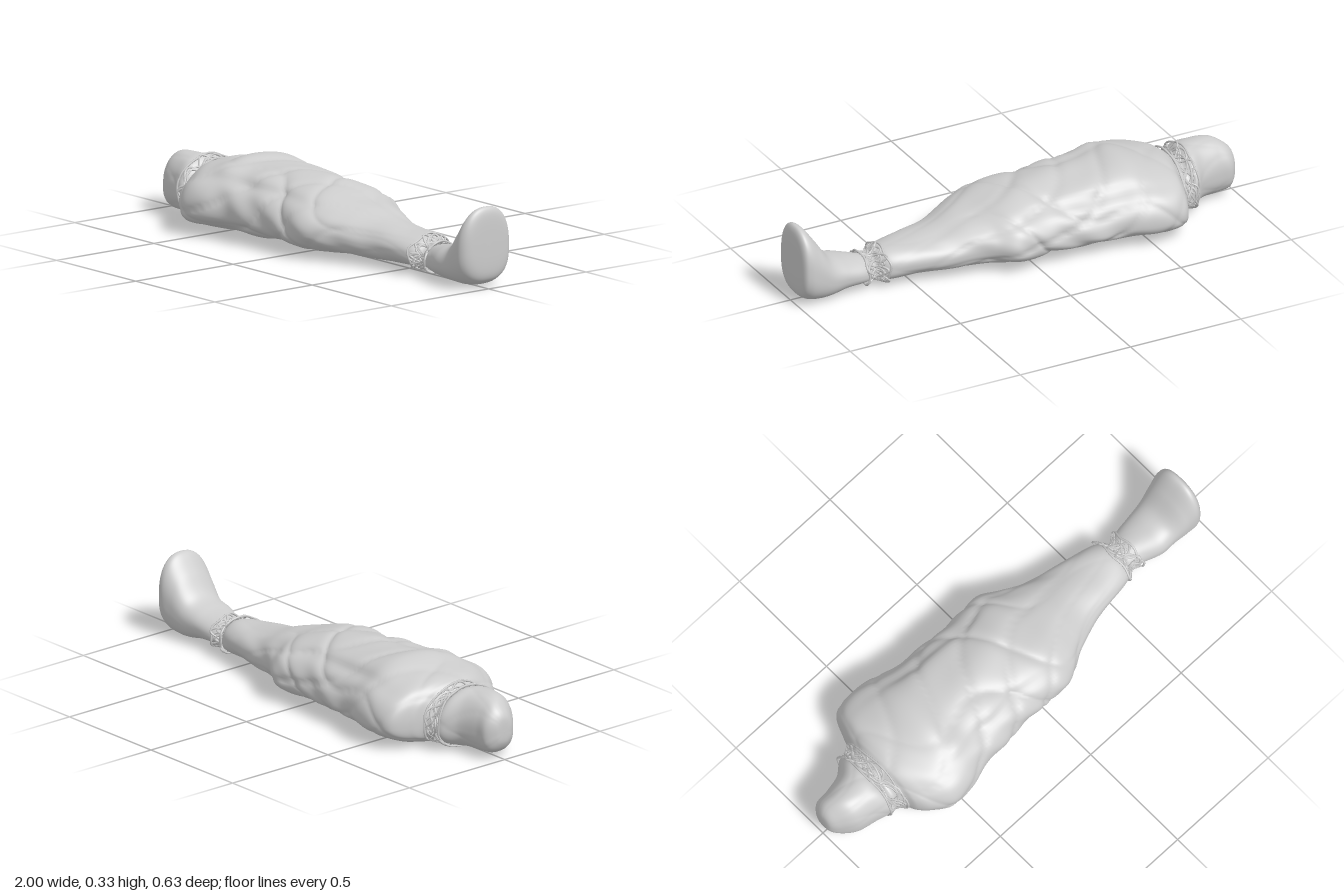
import * as THREE from 'three';

// Cross-sections along the body: [x, bottom y, top y, min z, max z]
const hoodRows = [
  [-1, 0.12, 0.12, 0, 0],
  [-0.995, 0.07, 0.18, -0.04, 0.04],
  [-0.965, 0.03, 0.22, -0.075, 0.075],
  [-0.91, 0.015, 0.25, -0.08, 0.115],
  [-0.83, 0.015, 0.255, -0.1, 0.135],
  [-0.775, 0.015, 0.25, -0.145, 0.15],
];
const shroudRows = [
  [-0.735, 0.02, 0.215, -0.15, 0.145],
  [-0.7, 0.015, 0.24, -0.165, 0.17],
  [-0.68, 0.012, 0.255, -0.22, 0.215],
  [-0.64, 0.012, 0.27, -0.3, 0.26],
  [-0.56, 0.015, 0.285, -0.325, 0.31],
  [-0.46, 0.015, 0.31, -0.312, 0.3],
  [-0.36, 0.02, 0.302, -0.288, 0.275],
  [-0.24, 0.015, 0.295, -0.277, 0.265],
  [-0.1, 0.015, 0.29, -0.267, 0.25],
  [0, 0.01, 0.28, -0.267, 0.255],
  [0.1, 0.015, 0.26, -0.272, 0.257],
  [0.18, 0.018, 0.238, -0.227, 0.227],
  [0.26, 0.02, 0.217, -0.192, 0.18],
  [0.36, 0.022, 0.184, -0.165, 0.14],
  [0.48, 0.025, 0.168, -0.14, 0.115],
  [0.6, 0.025, 0.155, -0.115, 0.09],
];
const feetRows = [
  [0.65, 0.03, 0.125, -0.07, 0.06],
  [0.7, 0.025, 0.135, -0.09, 0.075],
  [0.78, 0.02, 0.155, -0.1, 0.105],
  [0.85, 0.01, 0.185, -0.11, 0.105],
  [0.91, 0.008, 0.265, -0.12, 0.115],
  [0.965, 0.02, 0.332, -0.125, 0.12],
  [0.995, 0.06, 0.31, -0.1, 0.085],
  [1, 0.18, 0.18, 0, 0],
];
const rows = [...hoodRows, ...shroudRows, ...feetRows];
const NECK = hoodRows.length;
const ANKLE = NECK + shroudRows.length;
const END = rows.length - 1;

// Smoothly interpolated cross-section at row position t
function sectionAt(t) {
  const i = Math.min(Math.floor(t), END - 1), f = t - i;
  const at = (k) => rows[Math.max(0, Math.min(END, k))];
  return rows[0].map((_, c) => {
    const [a, b, d, e] = [at(i - 1)[c], at(i)[c], at(i + 1)[c], at(i + 2)[c]];
    return b + 0.5 * f * (d - a + f * (2 * a - 5 * b + 4 * d - e + f * (3 * (b - d) + e - a)));
  });
}

const bump = (v, mid, width) => Math.exp(-(((v - mid) / width) ** 2));

// Inward fold depth of the cloth
function folds(x, a) {
  const ridge = (v) => 1 - Math.abs(Math.sin(v));
  const body = bump(x, -0.2, 0.48);
  const side = Math.abs(Math.cos(a));
  const wave = 0.012 * ridge(7 * x + 2 * a + 1.1 * Math.sin(9 * x)) ** 3
    + 0.01 * ridge(11 * x - 3 * a + 1.3 * Math.sin(5 * x + a)) ** 3
    + 0.004 * (1 + Math.sin(23 * x + 4 * Math.sin(2 * a + 3 * x)));
  const armGroove = 0.014 * bump(side, 0.74, 0.1) * bump(x, -0.25, 0.3) * (Math.sin(a) > 0 ? 1 : 0.3);
  const limb = 0.0025 * (1 + Math.sin(19 * x + 3 * a)) * bump(x, 0.55, 0.4);
  return body * wave + armGroove + limb;
}

// Point on the cloth at row position t and angle a, pushed out by lift
function surfacePoint(t, a, lift = 0) {
  const [x, y0, y1, z0, z1] = sectionAt(t);
  const c = Math.cos(a), s = Math.sin(a);
  const waist = 0.46 - 0.14 * bump(x, -0.35, 0.4);
  const cy = y0 + (y1 - y0) * waist, cz = (z0 + z1) / 2;
  const n = s < 0 ? 2.6 : 2.05 + 0.35 * bump(x, 1, 0.15);
  const power = (v) => Math.sign(v) * Math.abs(v) ** (2 / n);
  const rz = (z1 - z0) / 2, ry = s < 0 ? cy - y0 : y1 - cy;
  const dz = power(c) * rz, dy = power(s) * ry;
  const r = Math.hypot(dy, dz) || 1;
  const k = 1 + (lift - Math.min(folds(x, a), r * 0.3)) / r;
  return new THREE.Vector3(x, Math.max(0.004, cy + dy * k), cz + dz * k);
}

// Skin of the cloth between two row positions
function clothGeometry(from, to) {
  const sides = 96, steps = Math.round((to - from) * 9);
  const points = [], index = [];
  for (let i = 0; i <= steps; i++) {
    for (let j = 0; j < sides; j++) {
      const p = surfacePoint(from + ((to - from) * i) / steps, (j / sides) * Math.PI * 2);
      points.push(p.x, p.y, p.z);
      if (i === steps) continue;
      const a = i * sides + j, b = i * sides + ((j + 1) % sides);
      index.push(a, a + sides, b, b, a + sides, b + sides);
    }
  }
  const geometry = new THREE.BufferGeometry();
  geometry.setAttribute('position', new THREE.Float32BufferAttribute(points, 3));
  geometry.setIndex(index);
  geometry.computeVertexNormals();
  return geometry;
}

// Tangle of thin cords wound around the cloth
function binding(name, row, spread, flare, material) {
  const group = new THREE.Group();
  group.name = name;
  const strands = 11;
  for (let i = 0; i < strands; i++) {
    const rim = i < 2 ? (i ? 1 : -1) : 0;
    const waves = 2 + (i % 4), phase = i * 2.4;
    const path = [];
    for (let j = 0; j < 90; j++) {
      const a = (j / 90) * Math.PI * 2;
      const offset = rim ? rim * (0.93 + 0.07 * Math.sin(5 * a + i))
        : Math.sin(waves * a + phase) * (0.75 + 0.2 * Math.sin(a + i));
      const lift = 0.004 + flare * offset * offset + 0.002 * Math.sin(3 * a + phase);
      path.push(surfacePoint(row + offset * spread, a, lift));
    }
    const curve = new THREE.CatmullRomCurve3(path, true);
    const cord = new THREE.Mesh(new THREE.TubeGeometry(curve, 180, 0.0045, 6, true), material);
    cord.name = 'cord';
    group.add(cord);
  }
  return group;
}

export function createModel() {
  const model = new THREE.Group();
  model.name = 'wrappedFigure';
  const linen = new THREE.MeshStandardMaterial({ color: 0xcccccc });
  linen.name = 'linen';

  // Cloth over the head, the body and the feet
  for (const [name, from, to] of [['hood', 0, NECK], ['shroud', NECK, ANKLE], ['wrappedFeet', ANKLE, END]]) {
    const mesh = new THREE.Mesh(clothGeometry(from, to), linen);
    mesh.name = name;
    model.add(mesh);
  }

  // Cords at the neck and ankles
  model.add(binding('neckBinding', NECK, 1, 0.006, linen));
  model.add(binding('ankleBinding', ANKLE, 0.95, 0.008, linen));
  return model;
}
